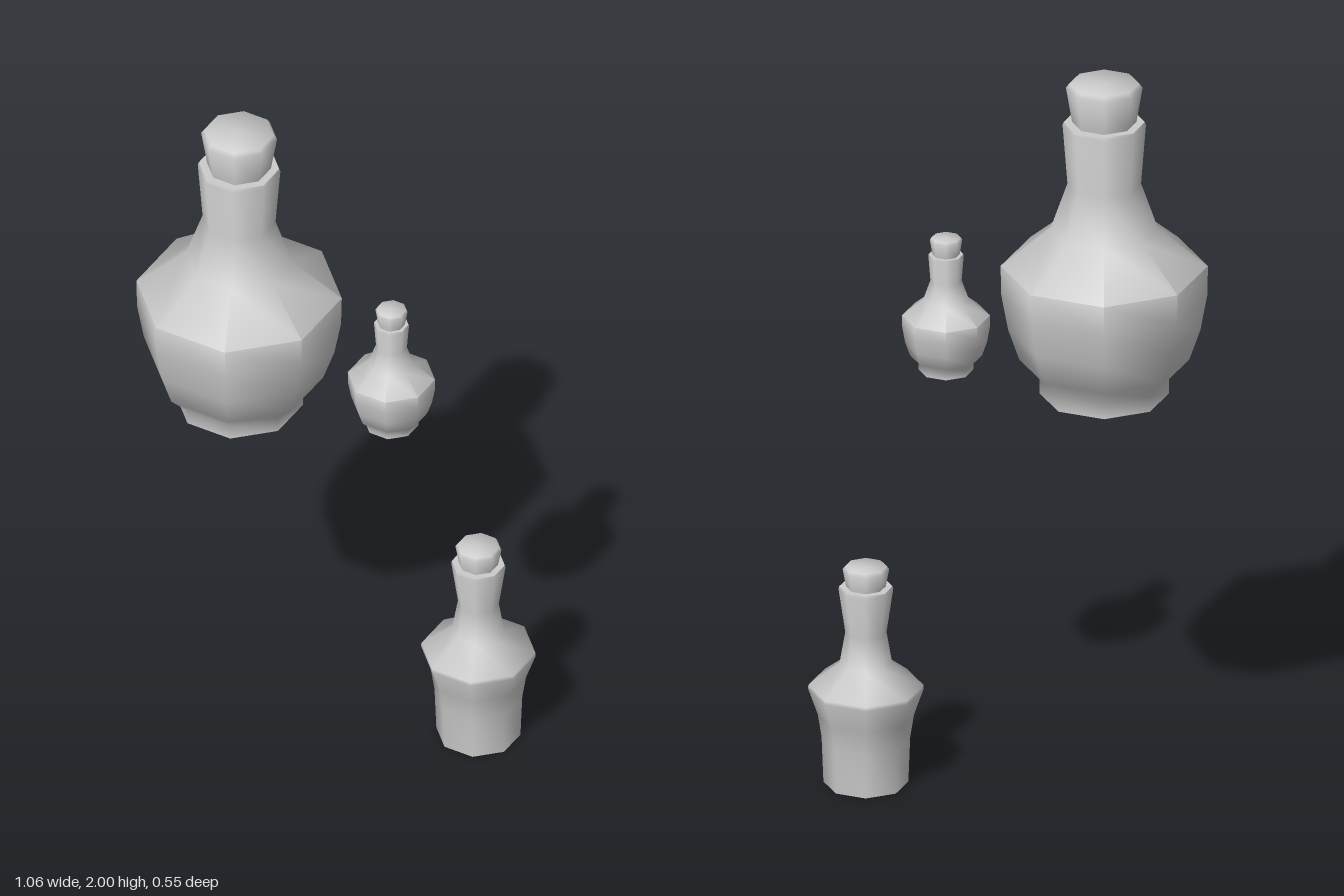
import * as THREE from 'three';
import { toCreasedNormals } from 'three/addons/utils/BufferGeometryUtils.js';

const material = new THREE.MeshStandardMaterial({ color: 0xcccccc });

// Profiles run bottom to top as [radius, height].
const roundProfile = {
  glass: [[0, 0], [0.172, 0], [0.172, 0.043], [0.226, 0.098], [0.256, 0.185], [0.274, 0.285],
    [0.276, 0.37], [0.143, 0.48], [0.098, 0.61], [0.111, 0.78], [0.108, 0.788], [0.07, 0.788]],
  cork: [[0, 0.73], [0.078, 0.73], [0.086, 0.79], [0.102, 0.888], [0.093, 0.9], [0, 0.9]],
};
const taperedProfile = {
  glass: [[0, 0], [0.113, 0], [0.118, 0.13], [0.128, 0.195], [0.154, 0.27], [0.153, 0.281],
    [0.07, 0.345], [0.055, 0.435], [0.073, 0.56], [0.071, 0.567], [0.045, 0.567]],
  cork: [[0, 0.53], [0.05, 0.53], [0.053, 0.568], [0.062, 0.617], [0.056, 0.625], [0, 0.625]],
};

// Eight-sided lathe, smooth except at hard rims; creased at 20x so close points stay apart.
function turned(name, profile) {
  const points = profile.map(([r, y]) => new THREE.Vector2(r * 20, y * 20));
  const lathe = new THREE.LatheGeometry(points, 8);
  const geometry = toCreasedNormals(lathe, THREE.MathUtils.degToRad(62)).scale(0.05, 0.05, 0.05);
  const mesh = new THREE.Mesh(geometry, material);
  mesh.name = name;
  return mesh;
}

function bottle(name, profile, position, scale = 1) {
  const group = new THREE.Group();
  group.name = name;
  group.add(turned('glass', profile.glass), turned('cork', profile.cork));
  group.position.set(...position);
  group.scale.setScalar(scale);
  return group;
}

export function createModel() {
  const model = new THREE.Group();
  model.name = 'corkedBottles';
  model.add(
    bottle('largeRoundBottle', roundProfile, [-0.257, 1.1, 0]),
    bottle('smallRoundBottle', roundProfile, [0.164, 1.132, 0.085], 0.425),
    bottle('taperedBottle', taperedProfile, [0.377, 0, -0.063]),
  );
  return model;
}
